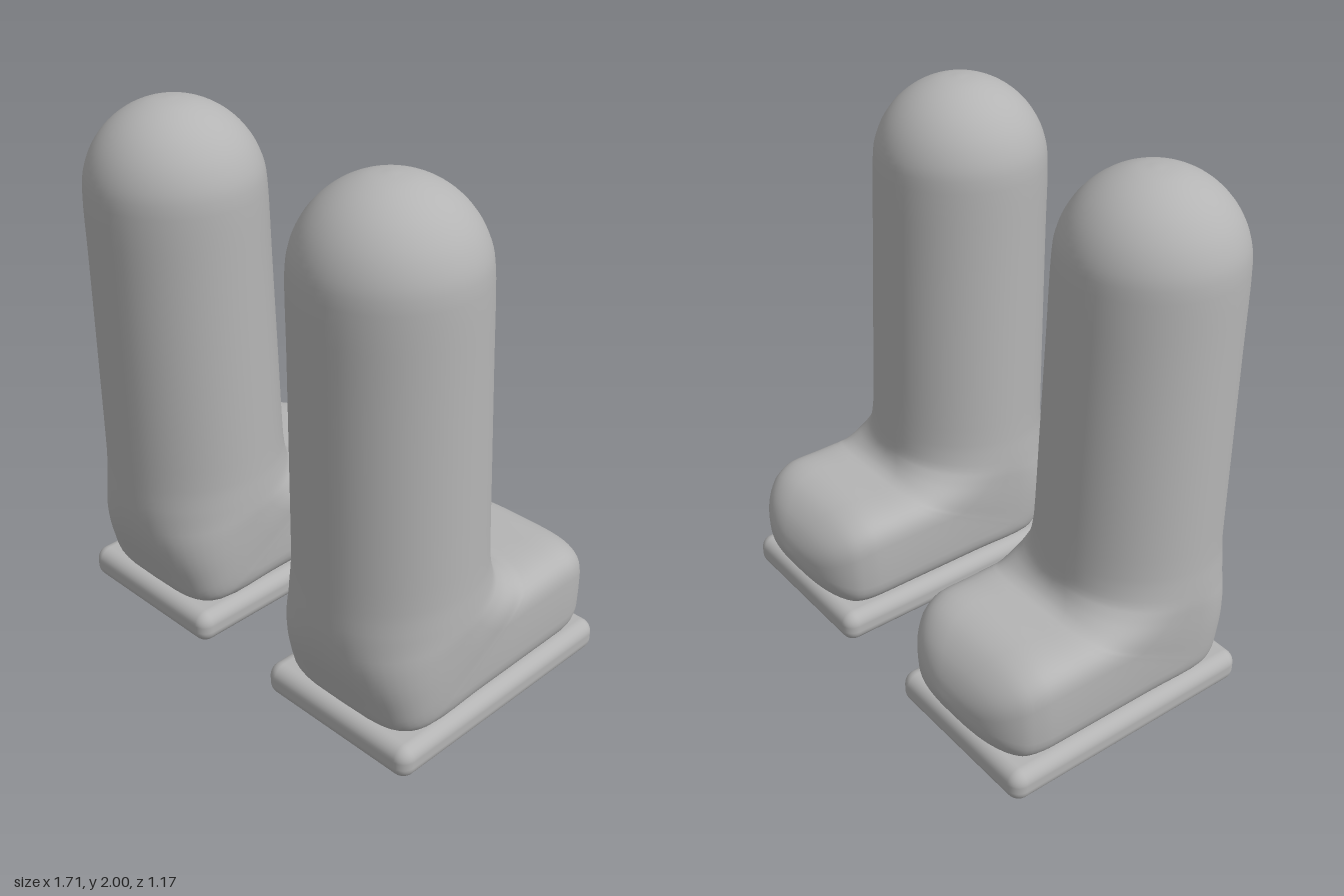
import * as THREE from 'three';
import { mergeVertices } from 'three/addons/utils/BufferGeometryUtils.js';
import { RoundedBoxGeometry } from 'three/addons/geometries/RoundedBoxGeometry.js';

// Cross-sections from leg top to toe:
// [inner z, inner y, outer z, outer y, half width, squareness]
function sections() {
  const list = [];
  for (let i = 0; i <= 6; i++) {
    const a = (i / 6) * Math.PI / 2, r = 0.32 * Math.sin(a), y = 1.68 + 0.32 * Math.cos(a);
    list.push([0.265 - r, y, 0.265 + r, y, r, 2]);
  }
  list.push(
    [-0.067, 1.4, 0.581, 1.4, 0.324, 2],
    [-0.084, 1.0, 0.575, 1.0, 0.330, 2],
    [-0.099, 0.66, 0.57, 0.62, 0.336, 2],
    [-0.105, 0.57, 0.566, 0.46, 0.342, 2.2],
    [-0.12, 0.53, 0.545, 0.34, 0.341, 2.8],
    [-0.145, 0.503, 0.505, 0.22, 0.337, 3.6],
    [-0.175, 0.49, 0.468, 0.13, 0.332, 4.2],
    [-0.2, 0.488, 0.42, 0.1, 0.33, 4.5],
    [-0.22, 0.488, 0.15, 0.1, 0.327, 4.6],
    [-0.27, 0.488, -0.15, 0.1, 0.325, 4.6],
    [-0.38, 0.487, -0.36, 0.1, 0.323, 4.6],
    [-0.46, 0.462, -0.45, 0.1, 0.3, 4.2],
    [-0.53, 0.405, -0.515, 0.14, 0.235, 3.4],
    [-0.57, 0.34, -0.562, 0.21, 0.135, 2.6],
    [-0.586, 0.28, -0.586, 0.28, 0, 2]
  );
  return list;
}

// Smooth skin over the bent row of cross-sections
function bootGeometry() {
  const S = sections(), sides = 48, steps = (S.length - 1) * 4;
  const curve = (f) => new THREE.CatmullRomCurve3(S.map(f));
  const inner = curve((s) => new THREE.Vector3(0, s[1], s[0]));
  const outer = curve((s) => new THREE.Vector3(0, s[3], s[2]));
  const shape = curve((s, i) => new THREE.Vector3(s[4], s[5], i * 0.1));
  const pos = [], index = [];
  const power = (v, n) => Math.sign(v) * Math.pow(Math.abs(v), 2 / n);
  for (let i = 0; i <= steps; i++) {
    const t = i / steps, p = inner.getPoint(t), q = outer.getPoint(t), s = shape.getPoint(t);
    const mid = p.clone().add(q).multiplyScalar(0.5), half = q.clone().sub(p).multiplyScalar(0.5);
    for (let j = 0; j < sides; j++) {
      const a = (j / sides) * Math.PI * 2, c = power(Math.cos(a), s.y);
      pos.push(power(Math.sin(a), s.y) * s.x, mid.y + half.y * c, mid.z + half.z * c);
      if (i === steps) continue;
      const k = (j + 1) % sides, r = i * sides, n = r + sides;
      index.push(r + j, n + j, r + k, n + j, n + k, r + k);
    }
  }
  let g = new THREE.BufferGeometry();
  g.setAttribute('position', new THREE.Float32BufferAttribute(pos, 3));
  g.setIndex(index);
  g = mergeVertices(g, 1e-5);
  g.computeVertexNormals();
  return g;
}

export function createModel() {
  const model = new THREE.Group();
  model.name = 'bootPair';
  const grey = new THREE.MeshStandardMaterial({ color: 0xb4b4b4 });
  grey.name = 'grey';

  const bootGeo = bootGeometry();
  const soleGeo = new RoundedBoxGeometry(0.68, 0.125, 1.05, 5, 0.05);

  for (const side of [-1, 1]) {
    const boot = new THREE.Group();
    boot.name = side > 0 ? 'leftBoot' : 'rightBoot';
    boot.position.x = side * 0.51;

    // Leg and foot in one skin
    const upper = new THREE.Mesh(bootGeo, grey);
    upper.name = 'legAndFoot';

    // Flat sole with rounded edges
    const sole = new THREE.Mesh(soleGeo, grey);
    sole.name = 'sole';
    sole.position.set(0, 0.0625, -0.01);

    boot.add(upper, sole);
    model.add(boot);
  }
  return model;
}
